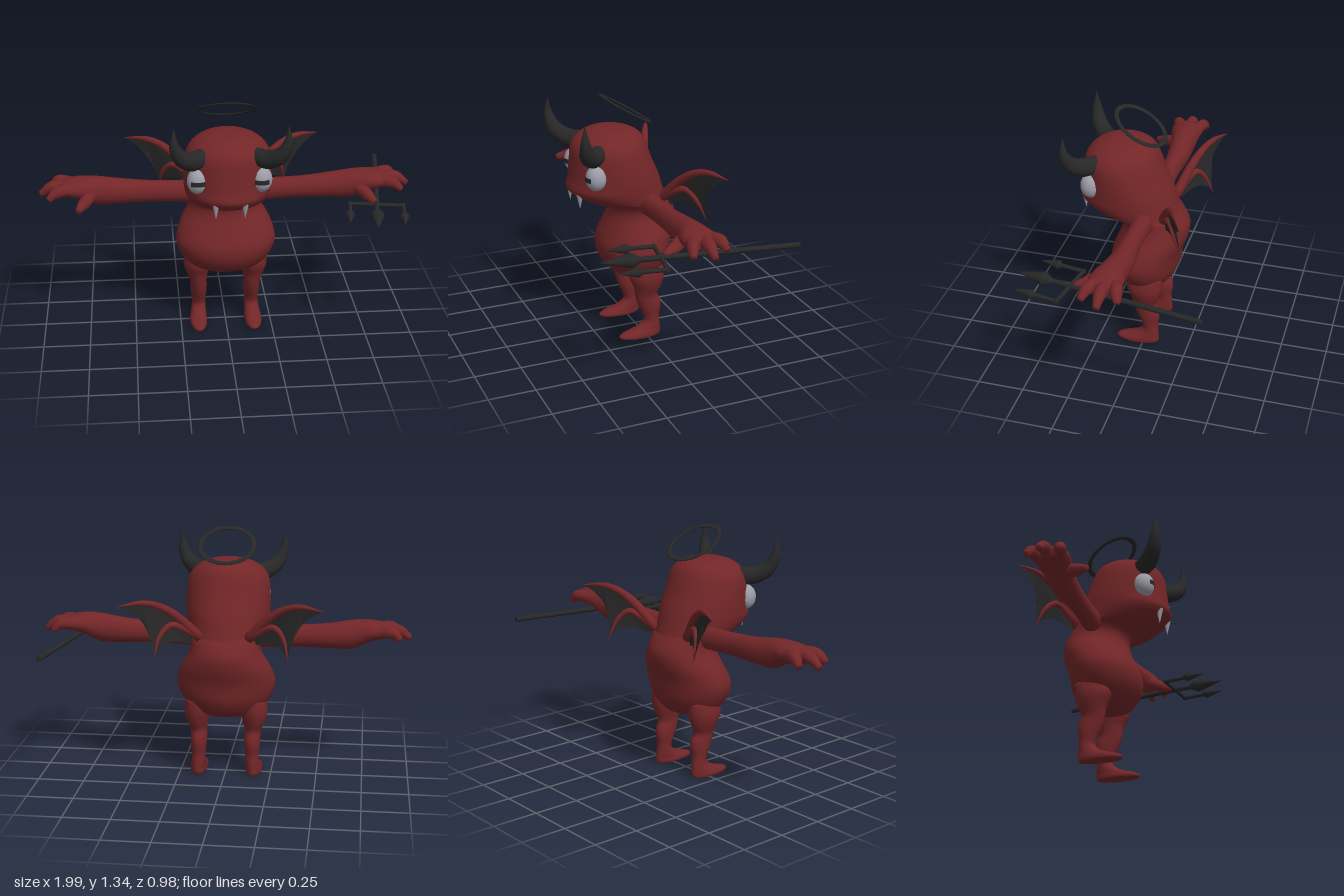
import * as THREE from 'three';

const V = (x, y, z) => new THREE.Vector3(x, y, z);

// Smoothly resample rows of numbers, k steps between each pair
function smoothRows(rows, k = 3) {
  const out = [];
  const at = i => rows[Math.min(Math.max(i, 0), rows.length - 1)];
  for (let i = 0; i < rows.length - 1; i++) {
    for (let s = 0; s < k; s++) {
      const t = s / k;
      out.push(rows[i].map((b, j) => {
        const a = at(i - 1)[j], c = at(i + 1)[j], d = at(i + 2)[j];
        return b + 0.5 * t * (c - a + t * (2 * a - 5 * b + 4 * c - d + t * (3 * (b - c) + d - a)));
      }));
    }
  }
  out.push(rows[rows.length - 1]);
  return out;
}

// Closed skin over elliptical sections {c, u, v}; u x v points along the travel
function loft(sections, n = 24) {
  const pos = [], idx = [], m = sections.length;
  for (const { c, u, v } of sections) {
    for (let j = 0; j < n; j++) {
      const a = j / n * Math.PI * 2;
      const p = c.clone().addScaledVector(u, Math.cos(a)).addScaledVector(v, Math.sin(a));
      pos.push(p.x, p.y, p.z);
    }
  }
  pos.push(...sections[0].c.toArray(), ...sections[m - 1].c.toArray());
  for (let j = 0; j < n; j++) {
    const k = (j + 1) % n;
    for (let i = 0; i < m - 1; i++) {
      const a = i * n + j, b = i * n + k;
      idx.push(a, b, a + n, b, b + n, a + n);
    }
    idx.push(m * n, k, j, m * n + 1, (m - 1) * n + j, (m - 1) * n + k);
  }
  const g = new THREE.BufferGeometry();
  g.setAttribute('position', new THREE.Float32BufferAttribute(pos, 3));
  g.setIndex(idx);
  g.computeVertexNormals();
  return g;
}

// Upright form from rows [y, halfWidth, zFront, zBack, xCentre]
const upright = (rows, n) => loft(smoothRows(rows).map(([y, w, f, b, x]) => ({
  c: V(x, y, (f + b) / 2), u: V(0, 0, (f - b) / 2), v: V(w, 0, 0)
})), n);

// Round tapered tube through points with matching radii
function taper(points, radii, n = 12, steps = 16) {
  const curve = new THREE.CatmullRomCurve3(points.map(p => V(...p)));
  const sections = [];
  for (let i = 0; i <= steps; i++) {
    const t = i / steps, f = t * (radii.length - 1), k = Math.min(Math.floor(f), radii.length - 2);
    const r = THREE.MathUtils.lerp(radii[k], radii[k + 1], f - k);
    const d = curve.getTangent(t);
    const u = V(0.3, 0.2, 1).cross(d).normalize();
    sections.push({ c: curve.getPoint(t), v: d.clone().cross(u).multiplyScalar(r), u: u.multiplyScalar(r) });
  }
  return loft(sections, n);
}

function mirrored(geo) {
  const g = geo.clone().scale(-1, 1, 1), a = g.index.array;
  for (let i = 0; i < a.length; i += 3) [a[i], a[i + 1]] = [a[i + 1], a[i]];
  return g;
}

export function createModel() {
  const model = new THREE.Group();
  model.name = 'wingedImp';
  const material = (name, color, side = THREE.FrontSide) => {
    const m = new THREE.MeshStandardMaterial({ color, side });
    m.name = name;
    return m;
  };
  const red = material('skinRed', 0x732628);
  const black = material('charcoal', 0x262726, THREE.DoubleSide);
  const grey = material('eyeGrey', 0x9c9ca8);

  const add = (name, geo, mat, parent = model) => {
    const mesh = new THREE.Mesh(geo, mat);
    mesh.name = name;
    parent.add(mesh);
  };
  const pair = (name, geo, mat) => {
    add(name + 'Left', geo, mat);
    add(name + 'Right', mirrored(geo), mat);
  };

  // Body and head in one skin, with the jaw overhanging the chest
  add('bodyAndHead', upright([
    [0.33, 0.06, 0.06, -0.05, 0], [0.345, 0.14, 0.11, -0.09, 0], [0.38, 0.2, 0.16, -0.125, 0],
    [0.44, 0.245, 0.2, -0.155, 0], [0.5, 0.268, 0.21, -0.165, 0], [0.55, 0.265, 0.2, -0.175, 0],
    [0.62, 0.24, 0.17, -0.2, 0], [0.69, 0.2, 0.145, -0.21, 0], [0.74, 0.19, 0.15, -0.19, 0],
    [0.775, 0.2, 0.19, -0.165, 0], [0.79, 0.208, 0.29, -0.155, 0], [0.85, 0.225, 0.378, -0.135, 0],
    [0.91, 0.23, 0.37, -0.115, 0], [1, 0.228, 0.36, -0.075, 0], [1.08, 0.215, 0.35, -0.045, 0],
    [1.13, 0.175, 0.315, -0.02, 0], [1.16, 0.12, 0.26, 0.03, 0], [1.173, 0.06, 0.2, 0.09, 0]
  ], 40), red);

  // Legs with flat feet
  pair('leg', upright([
    [0.003, 0.045, 0.15, -0.08, 0.152], [0.015, 0.048, 0.155, -0.085, 0.152], [0.03, 0.046, 0.13, -0.085, 0.152],
    [0.05, 0.042, 0.06, -0.083, 0.15], [0.085, 0.038, 0.01, -0.08, 0.148], [0.12, 0.038, 0.012, -0.078, 0.147],
    [0.17, 0.044, 0.035, -0.087, 0.147], [0.21, 0.045, 0.05, -0.083, 0.147], [0.25, 0.046, 0.06, -0.066, 0.149],
    [0.3, 0.06, 0.07, -0.085, 0.155], [0.36, 0.075, 0.095, -0.1, 0.155], [0.43, 0.07, 0.09, -0.1, 0.15]
  ], 20), red);

  // Arms from rows [x, yCentre, yRadius, zCentre, zRadius]
  pair('arm', loft(smoothRows([
    [0.1, 0.78, 0.065, 0, 0.06], [0.25, 0.785, 0.06, -0.003, 0.052], [0.4, 0.79, 0.06, -0.003, 0.05],
    [0.55, 0.795, 0.068, -0.006, 0.062], [0.68, 0.805, 0.078, 0, 0.07], [0.76, 0.825, 0.06, 0.005, 0.083],
    [0.83, 0.83, 0.045, 0.005, 0.088], [0.88, 0.83, 0.028, 0.005, 0.055]
  ]).map(([x, y, ry, z, rz]) => ({ c: V(x, y, z), u: V(0, ry, 0), v: V(0, 0, rz) })), 20), red);

  // Fingers and thumb
  const digits = {
    backFinger: [[0.81, 0.83, -0.045], [0.89, 0.835, -0.073], [0.93, 0.8, -0.088]],
    middleFinger: [[0.81, 0.83, 0], [0.92, 0.832, 0], [0.985, 0.793, 0]],
    frontFinger: [[0.81, 0.83, 0.04], [0.89, 0.83, 0.075], [0.94, 0.795, 0.095]],
    thumb: [[0.71, 0.8, 0.04], [0.755, 0.775, 0.115], [0.782, 0.76, 0.175]]
  };
  for (const [name, pts] of Object.entries(digits)) pair(name, taper(pts, [0.036, 0.032, 0.016]), red);

  // Curved horns
  pair('horn', taper(
    [[0.125, 1.08, 0.245], [0.19, 1.078, 0.31], [0.25, 1.118, 0.362], [0.284, 1.19, 0.384], [0.285, 1.28, 0.387]],
    [0.044, 0.05, 0.042, 0.026, 0.002], 16, 20), black);

  // Eyes with dark slit pupils, and fangs
  const onEye = g => g.scale(0.056, 0.068, 0.056).translate(0.163, 0.96, 0.283);
  pair('eye', onEye(new THREE.SphereGeometry(1, 28, 20)), grey);
  pair('pupil', onEye(new THREE.SphereGeometry(1.04, 12, 4, Math.PI / 2 - 0.7, 1.4, Math.PI / 2 - 0.18, 0.36)), black);
  pair('fang', new THREE.ConeGeometry(0.02, 0.085, 14).rotateX(Math.PI).translate(0.075, 0.81, 0.343), grey);

  // Wings: scalloped membrane swept backwards, edged with tapered bones
  const sweep = (x, y) => -0.12 - 0.47 * (x - 0.17) - 1.6 * Math.max(0, 0.9 - y) * Math.max(0, x - 0.17);
  const wing = new THREE.Shape();
  wing.moveTo(0.15, 0.8);
  wing.quadraticCurveTo(0.28, 0.98, 0.42, 1.005);
  wing.lineTo(0.53, 0.99);
  wing.quadraticCurveTo(0.375, 0.92, 0.35, 0.72);
  wing.quadraticCurveTo(0.3, 0.82, 0.18, 0.76);
  const membrane = new THREE.ShapeGeometry(wing, 14);
  const p = membrane.attributes.position;
  for (let i = 0; i < p.count; i++) p.setZ(i, sweep(p.getX(i), p.getY(i)));
  membrane.computeVertexNormals();
  pair('wingMembrane', membrane, black);
  const bone = (pts, radii) => taper(pts.map(([x, y]) => [x, y, sweep(x, y)]), radii, 10, 18);
  pair('wingLeadingBone', bone([[0.13, 0.79], [0.25, 0.92], [0.34, 0.98], [0.42, 1.0], [0.53, 0.99]],
    [0.028, 0.024, 0.019, 0.015, 0.002]), red);
  pair('wingLowerBone', bone([[0.14, 0.8], [0.27, 0.87], [0.325, 0.82], [0.35, 0.715]],
    [0.024, 0.018, 0.013, 0.002]), red);

  // Tilted flat halo
  add('halo', new THREE.TorusGeometry(0.144, 0.014, 10, 48).scale(1, 1, 0.4)
    .rotateX(1.035).translate(0, 1.26, 0.055), black);

  // Trident, pointing forwards from the left hand
  const trident = new THREE.Group();
  trident.name = 'trident';
  trident.position.set(0.787, 0.755, 0.195);
  trident.rotation.y = -0.17;
  model.add(trident);
  const rod = (name, r0, r1, z0, z1, x = 0) => add(name,
    new THREE.CylinderGeometry(r1, r0, z1 - z0, 14).rotateX(Math.PI / 2).translate(x, 0, (z0 + z1) / 2), black, trident);
  rod('shaft', 0.014, 0.014, -0.7, 0.15);
  rod('centreBarb', 0.014, 0.038, 0.1, 0.145);
  rod('centrePoint', 0.038, 0.001, 0.145, 0.295);
  for (const x of [-0.14, 0.14]) {
    rod('sideProng', 0.011, 0.011, -0.01, 0.14, x);
    rod('sideBarb', 0.011, 0.025, 0.12, 0.14, x);
    rod('sidePoint', 0.025, 0.001, 0.14, 0.24, x);
  }
  add('crossbar', new THREE.CylinderGeometry(0.011, 0.011, 0.3, 12).rotateZ(Math.PI / 2), black, trident);

  return model;
}
